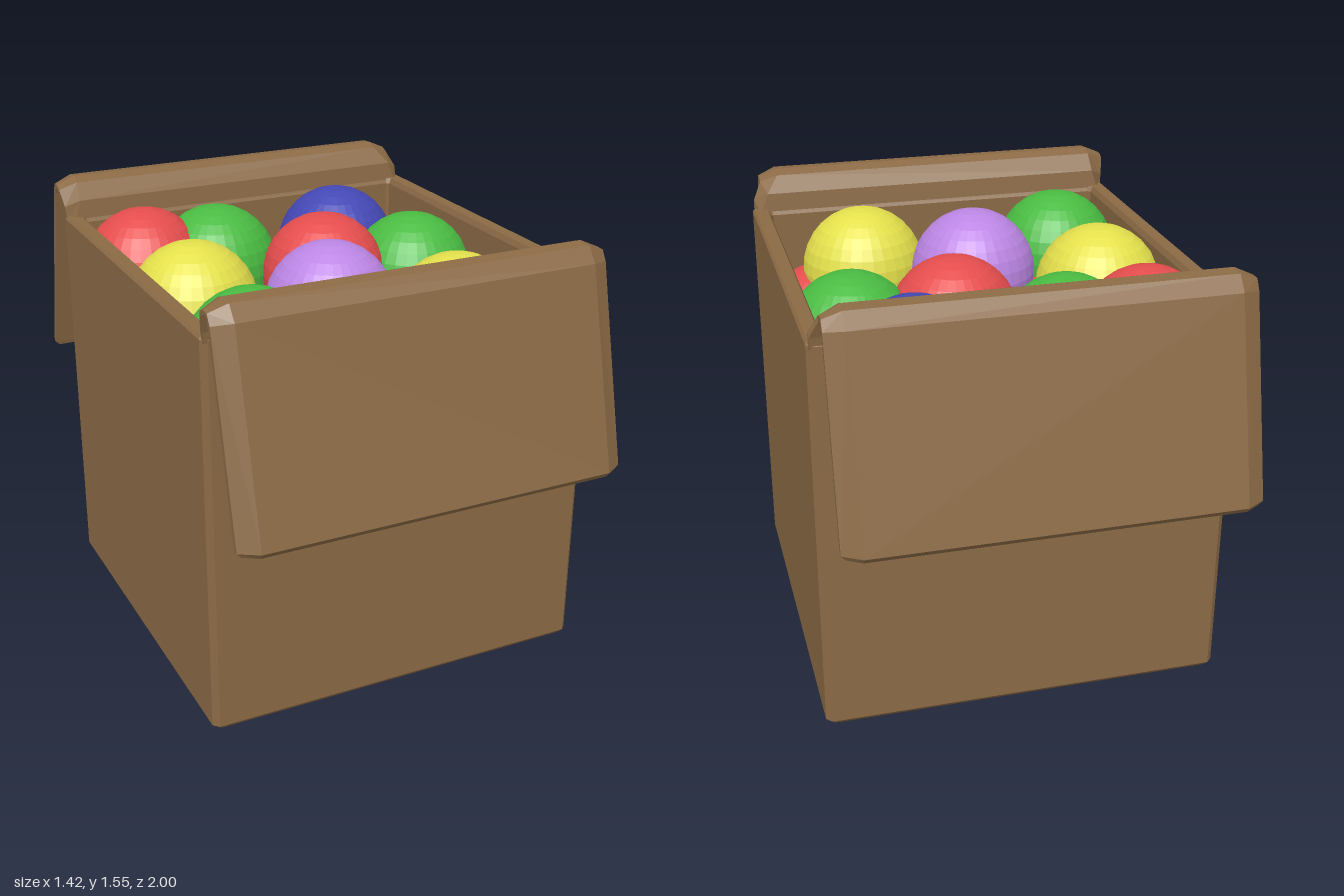
import * as THREE from 'three';

// Skin a list of equal-length point rings, with fan caps on both ends, faces outward
function loft(rings) {
  const tris = [];
  const n = rings[0].length;
  for (let i = 0; i + 1 < rings.length; i++) {
    for (let j = 0; j < n; j++) {
      const k = (j + 1) % n;
      const a = rings[i][j], b = rings[i][k], c = rings[i + 1][k], d = rings[i + 1][j];
      tris.push([a, b, c], [a, c, d]);
    }
  }
  const last = rings[rings.length - 1];
  for (let j = 1; j + 1 < n; j++) {
    tris.push([rings[0][0], rings[0][j + 1], rings[0][j]]);
    tris.push([last[0], last[j], last[j + 1]]);
  }
  // Signed volume tells whether the skin is inside out
  const cross = new THREE.Vector3();
  let volume = 0;
  for (const [a, b, c] of tris) volume += cross.crossVectors(b, c).dot(a);
  if (volume < 0) tris.forEach((t) => t.reverse());
  const geometry = new THREE.BufferGeometry().setFromPoints(tris.flat());
  geometry.computeVertexNormals();
  return geometry;
}

// Square ring with cut corners
function squareRing(half, cut, y) {
  const h = half, m = half - cut;
  return [[h, -m], [h, m], [m, h], [-m, h], [-h, m], [-h, -m], [-m, -h], [m, -h]]
    .map(([x, z]) => new THREE.Vector3(x, y, z));
}

// Folded flap; side is +1 for front, -1 for back
function flapGeometry(side) {
  // outer z, outer y, inner z, inner y, x min, x max, edge bevel
  const stations = [
    [0.65, 1.40, 0.705, 1.40, -0.70, 0.70, 0.02],
    [0.66, 1.48, 0.71, 1.44, -0.705, 0.70, 0.05],
    [0.70, 1.54, 0.73, 1.50, -0.715, 0.67, 0.065],
    [0.74, 1.555, 0.75, 1.51, -0.715, 0.67, 0.065],
    [0.79, 1.55, 0.77, 1.51, -0.715, 0.67, 0.065],
    [0.83, 1.50, 0.78, 1.485, -0.715, 0.67, 0.065],
    [1.00, 0.825, 0.94, 0.825, -0.715, 0.67, 0.065],
    [0.985, 0.805, 0.945, 0.81, -0.70, 0.655, 0.05],
  ];
  return loft(stations.map(([oz, oy, iz, iy, x0, x1, bevel]) => {
    const at = (x, t) => new THREE.Vector3(x, iy + (oy - iy) * t, side * (iz + (oz - iz) * t));
    return [at(x0, 0), at(x0, 0.35), at(x0 + bevel, 1), at(x1 - bevel, 1), at(x1, 0.35), at(x1, 0)];
  }));
}

export function createModel() {
  const group = new THREE.Group();
  const add = (name, geometry, material) => {
    const mesh = new THREE.Mesh(geometry, material);
    mesh.name = name;
    group.add(mesh);
    return mesh;
  };
  const paint = (color) => new THREE.MeshStandardMaterial({ color, flatShading: true });
  const cardboard = paint(0x8b6a45);

  // Open box: up the outside, over the rim, down the inside to the floor
  add('box', loft([
    squareRing(0.69, 0.015, 0),
    squareRing(0.708, 0.02, 0.02),
    squareRing(0.708, 0.02, 1.41),
    squareRing(0.70, 0.02, 1.42),
    squareRing(0.655, 0.015, 1.42),
    squareRing(0.645, 0.01, 1.40),
    squareRing(0.645, 0.01, 0.06),
  ]), cardboard);

  add('frontFlap', flapGeometry(1), cardboard);
  add('backFlap', flapGeometry(-1), cardboard);

  // Balls: upper layer, then the ones showing between them
  const radius = 0.228;
  const ballGeometry = new THREE.SphereGeometry(radius, 32, 16);
  const balls = {
    red: [0xe54d4d, [-0.475, 1.25, -0.47], [0.12, 1.235, -0.17], [-0.46, 1.02, 0.33], [0.47, 1.02, 0.48]],
    green: [0x4abb42, [-0.2, 1.235, -0.44], [0.475, 1.2, -0.14], [-0.445, 1.235, 0.47], [0.2, 1.06, 0.03]],
    blue: [0x4448b4, [0.33, 1.23, -0.495], [0.06, 1.03, 0.43], [-0.15, 1.0, -0.04]],
    yellow: [0xe4e04c, [-0.457, 1.25, -0.015], [0.325, 1.235, 0.45], [0.42, 1.0, -0.46], [-0.2, 1.0, 0.41]],
    purple: [0xbc86e4, [-0.05, 1.265, 0.23], [0.47, 1.03, 0.11], [0.03, 1.0, -0.47], [-0.43, 1.0, -0.24]],
  };
  for (const [name, [color, ...centres]] of Object.entries(balls)) {
    const material = paint(color);
    centres.forEach((p, i) => add(`${name}Ball${i + 1}`, ballGeometry, material).position.set(...p));
  }
  return group;
}
